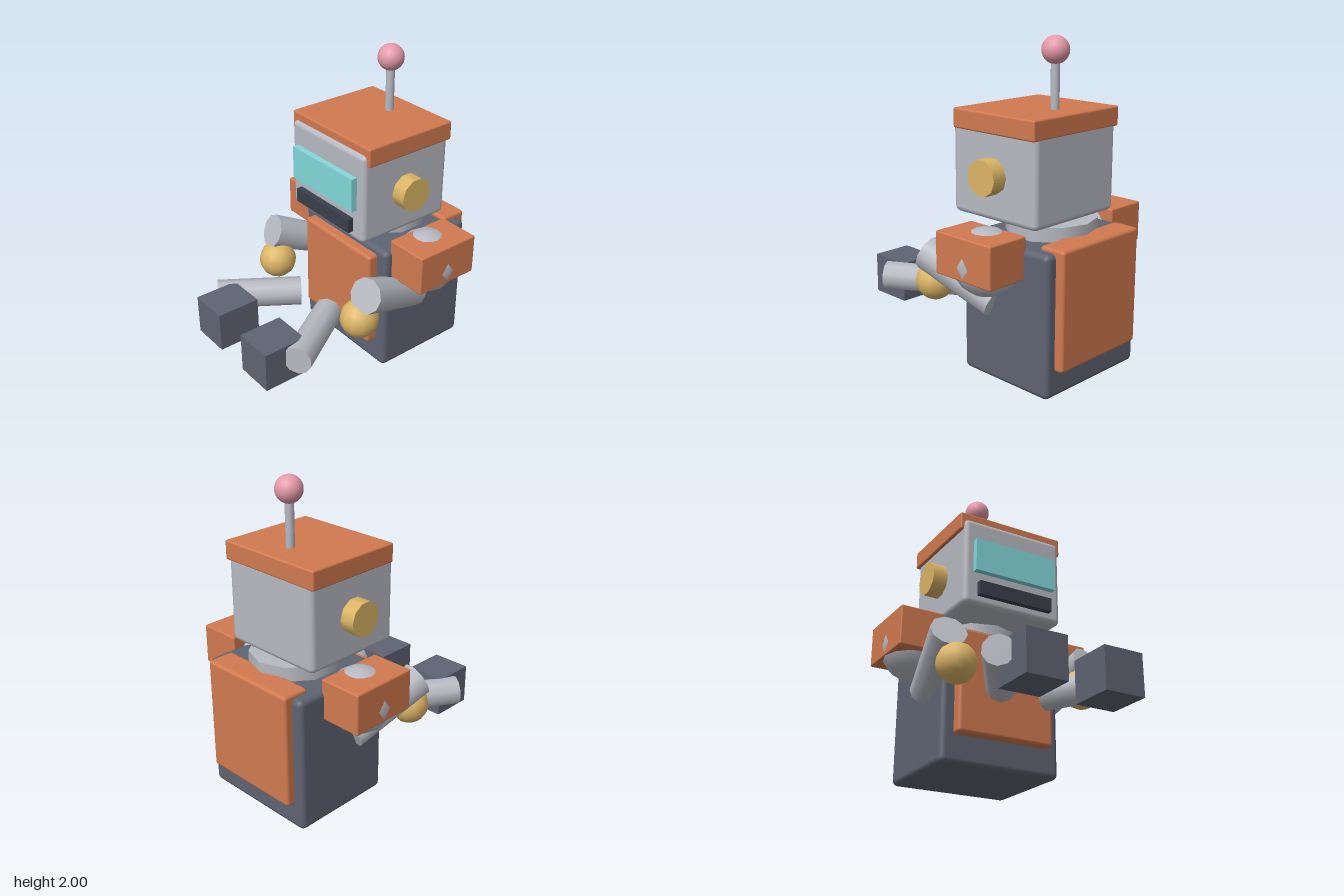
import * as THREE from 'three';
import { RoundedBoxGeometry } from 'three/addons/geometries/RoundedBoxGeometry.js';

const mat = (color) => new THREE.MeshStandardMaterial({ color });
const ORANGE = mat(0xd17a4f), SLATE = mat(0x5f6473), STEEL = mat(0xb7bac2), GOLD = mat(0xdcb566),
  PINK = mat(0xe59aa8), CYAN = mat(0x84d8dc), DARK = mat(0x3a3f4c);

export function createModel() {
  const model = new THREE.Group();
  model.name = 'robot';

  const add = (name, geometry, material, x = 0, y = 0, z = 0, parent = model) => {
    const mesh = new THREE.Mesh(geometry, material);
    mesh.name = name;
    mesh.position.set(x, y, z);
    parent.add(mesh);
    return mesh;
  };

  // Box given by its limits on each axis, with optionally softened edges
  const box = (name, material, [x0, x1], [y0, y1], [z0, z1], bevel = 0, parent = model) => {
    const size = [x1 - x0, y1 - y0, z1 - z0];
    const geometry = bevel ? new RoundedBoxGeometry(...size, 2, bevel) : new THREE.BoxGeometry(...size);
    return add(name, geometry, material, (x0 + x1) / 2, (y0 + y1) / 2, (z0 + z1) / 2, parent);
  };

  // Tapered limb between two points
  const limb = (name, a, b, ra, rb, parent) => {
    const start = new THREE.Vector3(...a), end = new THREE.Vector3(...b);
    const dir = end.clone().sub(start);
    const mesh = add(name, new THREE.CylinderGeometry(rb, ra, dir.length(), 10), STEEL, 0, 0, 0, parent);
    mesh.position.copy(start).add(end).multiplyScalar(0.5);
    mesh.quaternion.setFromUnitVectors(new THREE.Vector3(0, 1, 0), dir.normalize());
  };

  // Torso with its front and back plates
  box('torso', SLATE, [-0.4, 0.4], [0, 0.86], [-0.75, -0.08], 0.035);
  box('chestPlate', ORANGE, [-0.32, 0.32], [0.175, 0.82], [-0.14, -0.015], 0.02);
  box('backPack', ORANGE, [-0.333, 0.333], [0.165, 0.885], [-0.805, -0.63], 0.02);
  add('neck', new THREE.CylinderGeometry(0.275, 0.275, 0.15, 10), STEEL, 0, 0.873, -0.415);

  // Head, lid and face
  box('head', STEEL, [-0.345, 0.345], [0.95, 1.53], [-0.605, 0.06], 0.035);
  box('headLid', ORANGE, [-0.365, 0.365], [1.46, 1.58], [-0.608, 0.036], 0.012);
  box('visor', CYAN, [-0.285, 0.285], [1.165, 1.38], [0.02, 0.1]);
  box('mouth', DARK, [-0.255, 0.255], [1.01, 1.1], [0.02, 0.098]);

  // Antenna
  add('antennaRod', new THREE.CylinderGeometry(0.027, 0.027, 0.32, 12), STEEL, 0, 1.72, -0.43);
  add('antennaBall', new THREE.SphereGeometry(0.082, 20, 14), PINK, 0, 1.918, -0.43);

  // Ears and arms, left (+x) and right
  for (const s of [1, -1]) {
    const ear = add(s > 0 ? 'leftEar' : 'rightEar',
      new THREE.CylinderGeometry(0.108, 0.108, 0.12, 10), GOLD, s * 0.38, 1.22, -0.272);
    ear.rotation.z = Math.PI / 2;

    const arm = new THREE.Group();
    arm.name = s > 0 ? 'leftArm' : 'rightArm';
    model.add(arm);
    const span = (a, b) => (s > 0 ? [a, b] : [-b, -a]);

    add('shoulderJoint', new THREE.SphereGeometry(0.202, 12, 8), STEEL, s * 0.47, 0.757, -0.35, arm);
    box('shoulderPad', ORANGE, span(0.38, 0.66), [0.68, 0.935], [-0.57, -0.13], 0.01, arm);
    limb('upperArm', [s * 0.39, 0.485, -0.335], [s * 0.48, 0.7, 0.145], 0.095, 0.112, arm);
    add('elbow', new THREE.SphereGeometry(0.122, 12, 10), GOLD, s * 0.427, 0.51, 0.145, arm);
    limb('forearm', [s * 0.145, 0.412, 0.166], [s * 0.432, 0.422, 0.62], 0.092, 0.092, arm);
    box('hand', SLATE, span(0.118, 0.374), [0.25, 0.507], [0.52, 0.8], 0, arm);
  }
  return model;
}
